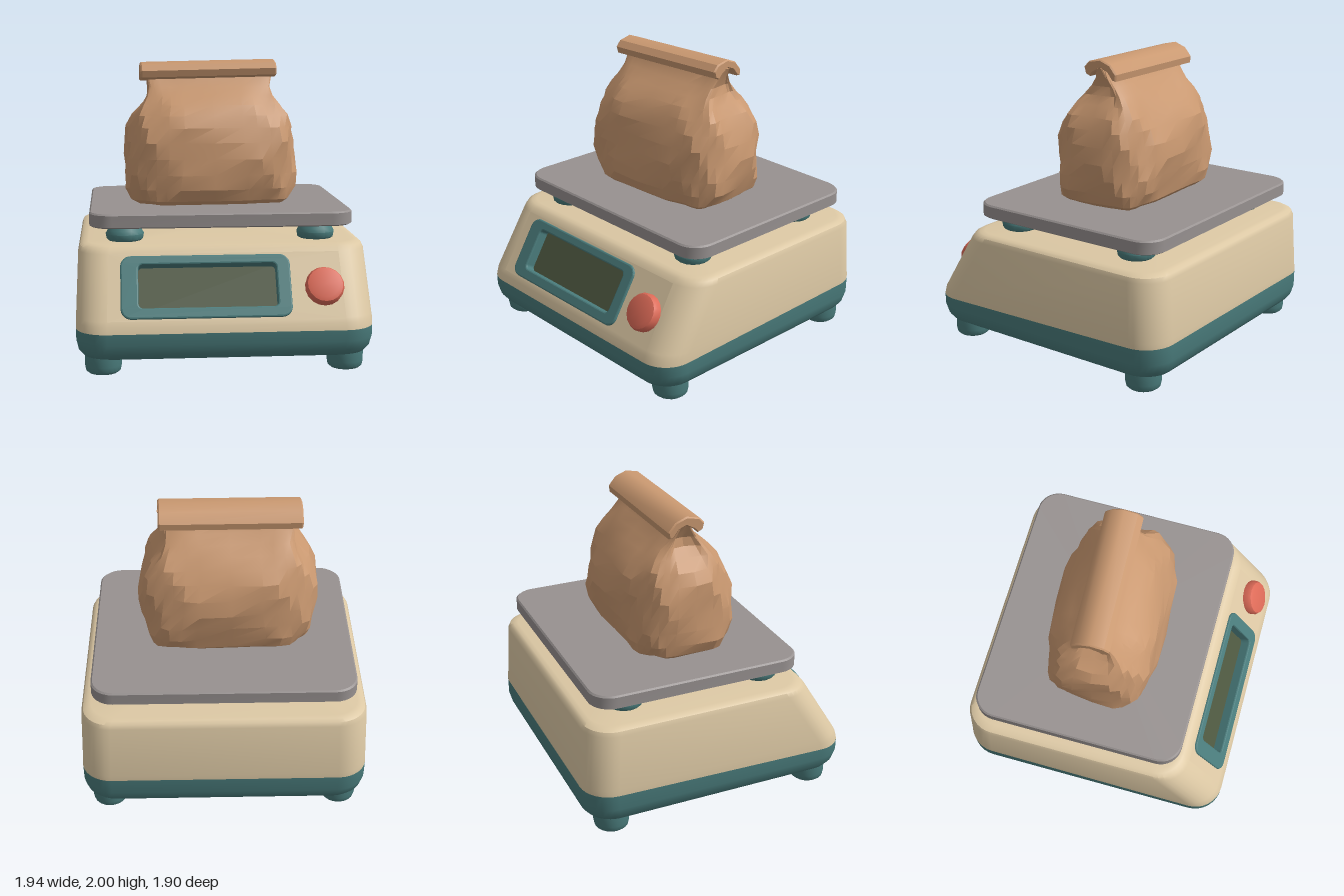
import * as THREE from 'three';
import { toCreasedNormals } from 'three/addons/utils/BufferGeometryUtils.js';

const material = (name, color) => {
  const m = new THREE.MeshStandardMaterial({ color });
  m.name = name;
  return m;
};

// Skin rings of points (bottom to top) and cap both ends; skip(j, i) leaves a quad open
function loft(rings, crease, skip = () => false) {
  const n = rings[0].length, pos = [], index = [];
  rings.forEach(r => r.forEach(p => pos.push(p.x, p.y, p.z)));
  for (let j = 0; j < rings.length - 1; j++) {
    for (let i = 0; i < n; i++) {
      if (skip(j, i)) continue;
      const a = j * n + i, b = j * n + (i + 1) % n;
      index.push(a, a + n, b, b, a + n, b + n);
    }
  }
  [0, rings.length - 1].forEach((j, top) => {
    const c = new THREE.Vector3();
    rings[j].forEach(p => c.addScaledVector(p, 1 / n));
    const center = pos.length / 3;
    pos.push(c.x, c.y, c.z);
    for (let i = 0; i < n; i++) {
      const a = j * n + i, b = j * n + (i + 1) % n;
      index.push(center, top ? b : a, top ? a : b);
    }
  });
  const g = new THREE.BufferGeometry();
  g.setAttribute('position', new THREE.Float32BufferAttribute(pos, 3));
  g.setIndex(index);
  g.computeVertexNormals();
  return toCreasedNormals(g, crease);
}

// Horizontal rounded rectangle; tilt lowers the ring towards the front
const STEPS = 8;
function roundedRing([y, hw, front, back, r, tilt = 0]) {
  const ring = [];
  for (let q = 0; q < 4; q++) {
    const cx = (q === 0 || q === 3 ? 1 : -1) * (hw - r);
    const cz = q < 2 ? front - r : back + r;
    for (let s = 0; s <= STEPS; s++) {
      const t = (q + s / STEPS) * Math.PI / 2;
      const z = cz + r * Math.sin(t);
      ring.push(new THREE.Vector3(cx + r * Math.cos(t), y - tilt * z, z));
    }
  }
  return ring;
}

function roundedRect(path, x0, y0, x1, y1, r) {
  path.moveTo(x0 + r, y0).lineTo(x1 - r, y0);
  path.absarc(x1 - r, y0 + r, r, -Math.PI / 2, 0);
  path.absarc(x1 - r, y1 - r, r, 0, Math.PI / 2);
  path.absarc(x0 + r, y1 - r, r, Math.PI / 2, Math.PI);
  path.absarc(x0 + r, y0 + r, r, Math.PI, Math.PI * 1.5);
  return path;
}

const lathe = (points, sides) => toCreasedNormals(
  new THREE.LatheGeometry(points.map(([x, y]) => new THREE.Vector2(x, y)), sides), 0.7);

// Bag cross-section: a superellipse with crumples and pinched side gussets
function bagRing([y, hw, zc, hz, e, gusset]) {
  const ring = [], n = 36;
  for (let i = 0; i < n; i++) {
    const t = (i / n) * Math.PI * 2, c = Math.cos(t), s = Math.sin(t);
    const fold = 1 - gusset * Math.pow(Math.abs(c), 8);
    const amount = Math.min(1, hz * 4) * 0.014;
    const crumple = amount * (Math.sin(5 * t + 11 * y) + 0.7 * Math.sin(9 * t - 17 * y));
    ring.push(new THREE.Vector3(
      Math.sign(c) * Math.pow(Math.abs(c), e) * hw * fold + c * crumple, y,
      zc + Math.sign(s) * Math.pow(Math.abs(s), e) * hz + s * crumple));
  }
  return ring;
}

export function createModel() {
  const cream = material('cream', 0xdcc8a4), teal = material('teal', 0x4a7c7c);
  const grey = material('grey', 0x979190), paper = material('paper', 0xc99870);
  const red = material('red', 0xdc6a57), olive = material('screen olive', 0x4d5740);

  const model = new THREE.Group();
  const add = (parent, name, geometry, mat, x = 0, y = 0, z = 0) => {
    const mesh = new THREE.Mesh(geometry, mat);
    mesh.name = name;
    mesh.position.set(x, y, z);
    parent.add(mesh);
    return mesh;
  };

  // Lower and upper housing meet on a slightly tilted seam
  const seam = [0.312, 0.97, 0.95, -0.95, 0.2, 0.02];
  add(model, 'lowerHousing', loft([
    [0.11, 0.88, 0.87, -0.87, 0.16], [0.122, 0.925, 0.905, -0.905, 0.18],
    [0.16, 0.955, 0.935, -0.935, 0.2], [0.22, 0.968, 0.95, -0.95, 0.2], seam,
  ].map(roundedRing), 0.6), teal);

  // The flat sloped front of ring 2 to 3 is left open for the control panel
  const upper = [
    seam, [0.345, 0.97, 0.937, -0.95, 0.2, 0.005], [0.37, 0.968, 0.92, -0.948, 0.2],
    [0.76, 0.955, 0.68, -0.925, 0.2], [0.79, 0.943, 0.655, -0.912, 0.19],
    [0.805, 0.92, 0.63, -0.89, 0.18], [0.81, 0.89, 0.6, -0.86, 0.16],
  ];
  add(model, 'upperHousing',
    loft(upper.map(roundedRing), 0.6, (j, i) => j === 2 && i === STEPS), cream);

  // Control panel, worked flat and then leaned back
  const panel = new THREE.Group();
  panel.name = 'controlPanel';
  panel.position.set(0, 0.565, 0.8);
  panel.rotation.x = -Math.atan2(0.24, 0.39);
  model.add(panel);
  const half = Math.hypot(0.24, 0.39) / 2;
  const face = new THREE.Shape();
  face.moveTo(-0.768, -half).lineTo(0.768, -half).lineTo(0.755, half).lineTo(-0.755, half);
  face.holes.push(roundedRect(new THREE.Path(), -0.6, -0.17, 0.37, 0.18, 0.05));
  add(panel, 'panelFace', new THREE.ShapeGeometry(face), cream);

  const frame = roundedRect(new THREE.Shape(), -0.68, -0.216, 0.425, 0.214, 0.07);
  frame.holes.push(roundedRect(new THREE.Path(), -0.565, -0.143, 0.335, 0.152, 0.03));
  add(panel, 'displayFrame', new THREE.ExtrudeGeometry(frame, {
    depth: 0.074, bevelThickness: 0.01, bevelSize: 0.01, bevelOffset: -0.01,
    bevelSegments: 2, curveSegments: 6,
  }), teal, 0, 0, -0.07);
  add(panel, 'screen', new THREE.PlaneGeometry(0.96, 0.35), olive, -0.115, 0.004, -0.06);

  const button = lathe([[0.125, -0.02], [0.127, 0.035], [0.115, 0.058], [0.09, 0.066], [0, 0.066]], 18);
  button.rotateX(Math.PI / 2);
  add(panel, 'button', button, red, 0.64, -0.02, 0);

  // Feet and platform supports
  const foot = lathe([[0, 0], [0.095, 0], [0.113, 0.015], [0.12, 0.05], [0.12, 0.13]], 20);
  const support = lathe([[0.1, 0], [0.122, 0.02], [0.128, 0.055], [0.115, 0.08], [0.09, 0.12]], 16);
  for (const side of [-1, 1]) {
    for (const z of [0.74, -0.745]) add(model, 'foot', foot, teal, side * 0.795, 0, z);
    for (const z of [0.4, -0.58]) add(model, 'support', support, teal, side * 0.645, 0.8, z);
  }

  // Weighing platform
  add(model, 'platform', loft([
    [0.913, 0.865, 0.595, -0.845, 0.14], [0.922, 0.88, 0.61, -0.86, 0.15],
    [1.0, 0.88, 0.61, -0.86, 0.15], [1.01, 0.87, 0.6, -0.85, 0.145],
  ].map(roundedRing), 0.6), grey);

  // Paper bag
  const bag = new THREE.Group();
  bag.name = 'paperBag';
  bag.position.set(-0.04, 0, -0.08);
  bag.rotation.y = 0.04;
  model.add(bag);
  add(bag, 'bagBody', loft([
    [1.012, 0.51, 0, 0.3, 0.5, 0], [1.04, 0.55, 0, 0.335, 0.5, 0],
    [1.12, 0.585, 0, 0.362, 0.52, 0], [1.22, 0.597, 0, 0.375, 0.56, 0],
    [1.33, 0.598, 0, 0.378, 0.6, 0], [1.44, 0.592, 0, 0.365, 0.6, 0],
    [1.54, 0.58, 0, 0.335, 0.6, 0.02], [1.62, 0.555, 0, 0.29, 0.58, 0.05],
    [1.69, 0.515, 0, 0.235, 0.55, 0.1], [1.75, 0.485, -0.005, 0.175, 0.5, 0.14],
    [1.81, 0.475, -0.01, 0.115, 0.45, 0.15], [1.87, 0.475, -0.012, 0.065, 0.4, 0.1],
    [1.94, 0.47, -0.015, 0.035, 0.4, 0],
  ].map(bagRing), 0.32), paper);

  // Rolled-over top: a folded arch profile run along the bag's width
  const arch = [[-0.11, 1.885], [-0.122, 1.93], [-0.085, 1.97], [0.005, 1.99], [0.085, 1.96],
    [0.135, 1.9], [0.13, 1.855], [0.1, 1.86], [0.06, 1.91], [0.01, 1.93],
    [-0.045, 1.9], [-0.075, 1.87]].map(([x, y]) => new THREE.Vector2(x, y - 1.93));
  const roll = new THREE.ExtrudeGeometry(new THREE.Shape(arch.reverse()), {
    depth: 0.93, bevelThickness: 0.01, bevelSize: 0.008, bevelOffset: -0.008, bevelSegments: 1,
  });
  roll.translate(0, 0, -0.465).rotateY(Math.PI / 2);
  const rollMesh = add(bag, 'rolledTop', toCreasedNormals(roll, 0.6), paper, -0.01, 1.93, -0.015);
  rollMesh.rotation.z = 0.02;
  return model;
}
